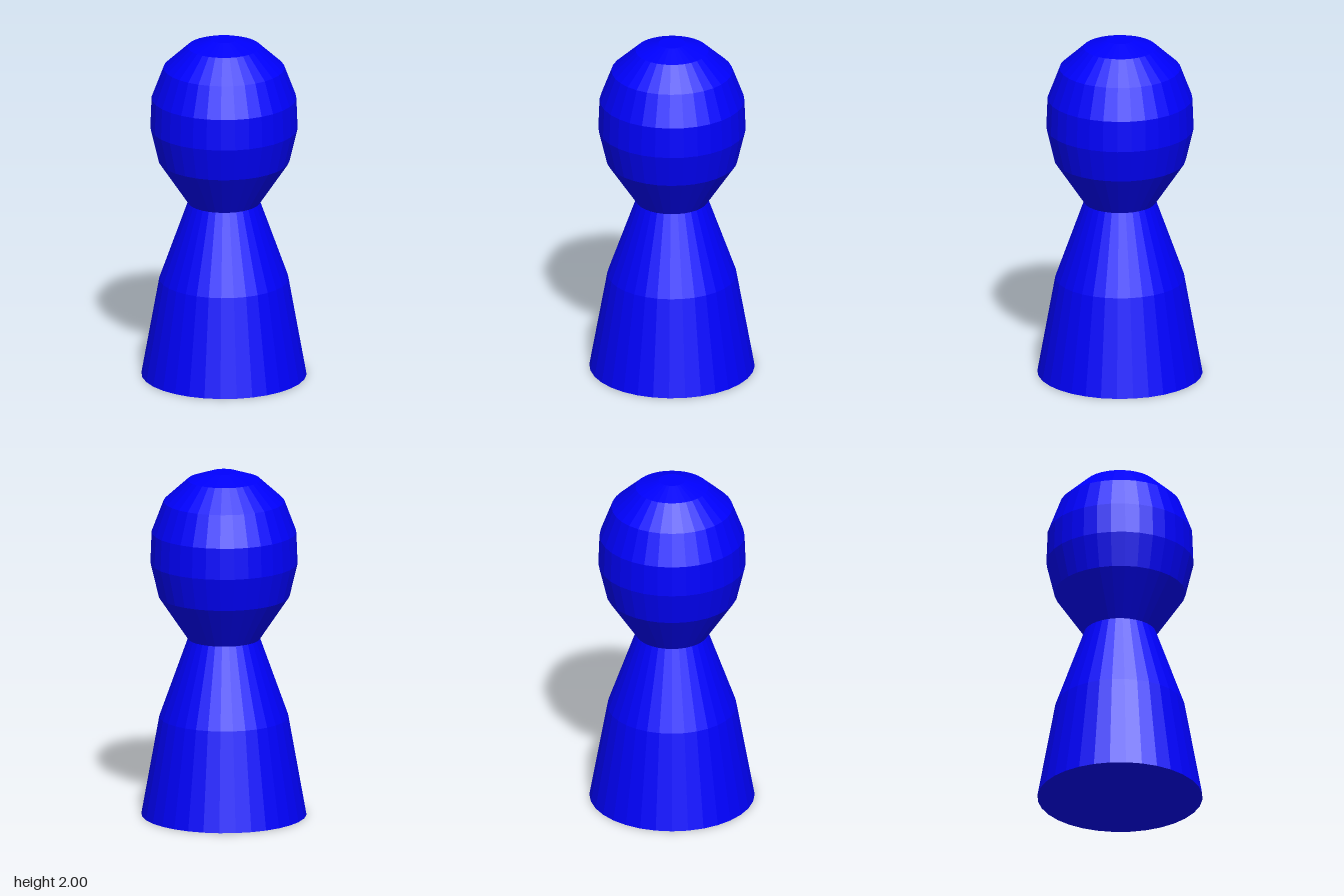
import * as THREE from 'three';

const SIDES = 32;
const material = new THREE.MeshStandardMaterial({ color: 0x0000ff, flatShading: true });

// Turns a [radius, height] profile, listed from bottom to top, around the y axis.
function turned(name, profile) {
  const points = profile.map(([r, y]) => new THREE.Vector2(r, y));
  const mesh = new THREE.Mesh(new THREE.LatheGeometry(points, SIDES), material);
  mesh.name = name;
  return mesh;
}

export function createModel() {
  const pawn = new THREE.Group();
  pawn.name = 'pawn';

  // Tapered body with a closed underside, ending at the narrow neck
  pawn.add(turned('body', [[0, 0], [0.47, 0], [0.368, 0.57], [0.205, 1.027]]));

  // Rounded head, flat on top
  pawn.add(turned('head', [
    [0.205, 1.027], [0.373, 1.277], [0.419, 1.47], [0.412, 1.65],
    [0.344, 1.83], [0.207, 1.955], [0.076, 2], [0, 2],
  ]));

  return pawn;
}
